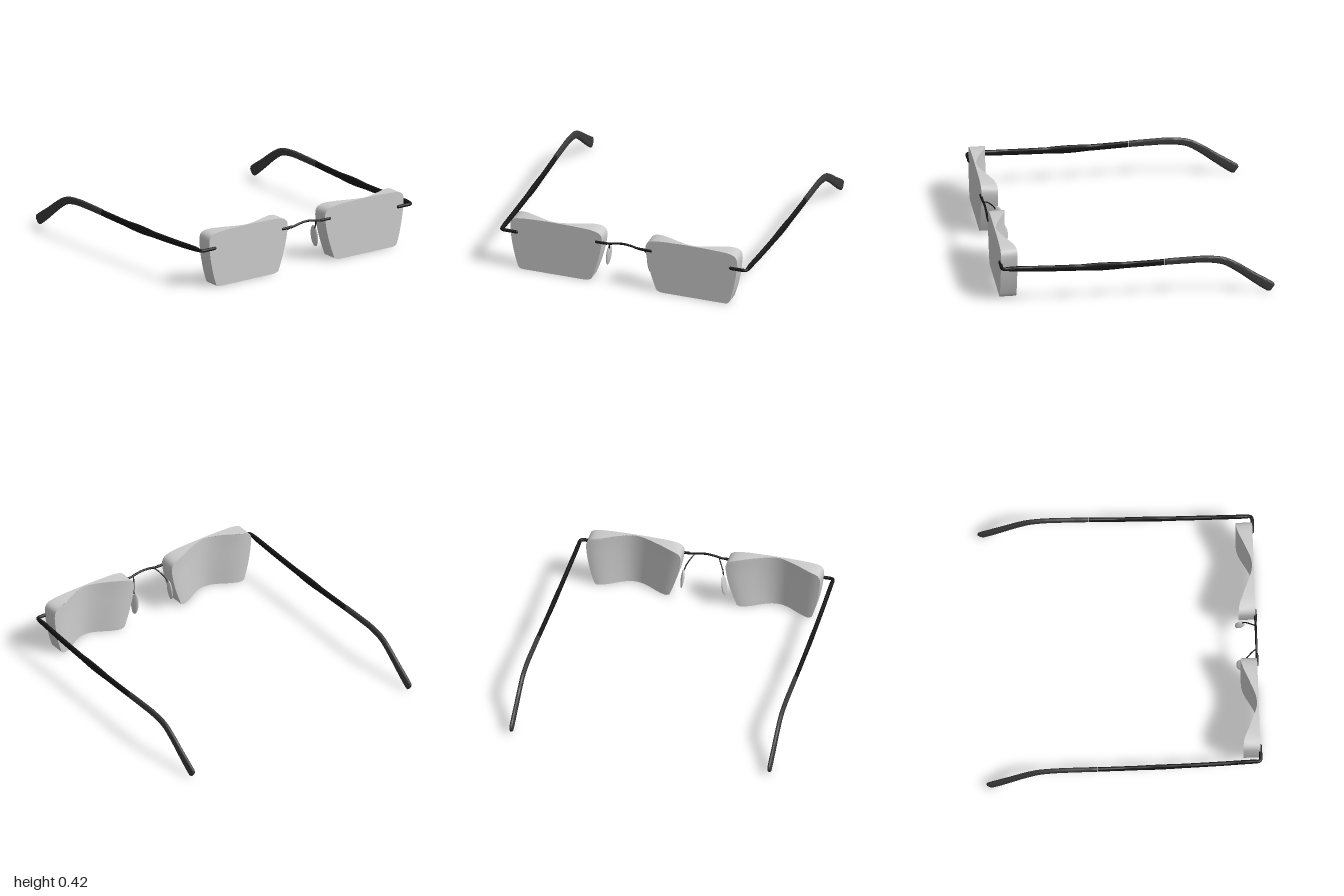
import * as THREE from 'three';
import { toCreasedNormals } from 'three/addons/utils/BufferGeometryUtils.js';

const V = (x, y, z) => new THREE.Vector3(x, y, z);
const mat = (color) => new THREE.MeshStandardMaterial({ color });

function mesh(name, geometry, material) {
  const m = new THREE.Mesh(geometry, material);
  m.name = name;
  return m;
}

// Joins closed rings (even point count, counter-clockwise about the direction of travel) and caps both ends
function loft(rings, crease) {
  const m = rings[0].length, idx = [];
  for (let i = 0; i < rings.length - 1; i++) {
    for (let j = 0; j < m; j++) {
      const k = (j + 1) % m;
      const a = i * m + j, b = i * m + k, c = (i + 1) * m + k, d = (i + 1) * m + j;
      idx.push(a, b, c, a, c, d);
    }
  }
  const last = (rings.length - 1) * m;
  for (let k = 0; k < m / 2 - 1; k++) {
    const [a, b, c, d] = [k, k + 1, m - 2 - k, m - 1 - k];
    idx.push(a, c, b, a, d, c);
    idx.push(last + a, last + b, last + c, last + a, last + c, last + d);
  }
  const g = new THREE.BufferGeometry().setFromPoints(rings.flat());
  g.setIndex(idx);
  return toCreasedNormals(g, crease);
}

// Lens: flat front, back hollowed across x; rows are [y, inner edge, outer edge]
function lensGeometry() {
  const rows = [
    [0.01, 0.3, 0.775], [0.013, 0.275, 0.797], [0.025, 0.252, 0.81], [0.05, 0.242, 0.819],
    [0.1, 0.224, 0.834], [0.15, 0.208, 0.846], [0.2, 0.194, 0.856], [0.25, 0.182, 0.864],
    [0.3, 0.173, 0.87], [0.34, 0.168, 0.873], [0.37, 0.169, 0.872], [0.39, 0.177, 0.866],
    [0.405, 0.192, 0.853], [0.416, 0.222, 0.828], [0.423, 0.262, 0.785], [0.427, 0.33, 0.71], [0.43, 0.46, 0.6],
  ];
  const n = 32;
  const rings = rows.map(([y, xi, xo]) => {
    const front = [], back = [];
    const t = Math.min(y / 0.33, 1);
    for (let i = 0; i <= n; i++) {
      const x = xi + (xo - xi) * i / n;
      const half = x < 0.53 ? 0.29 + 0.075 * t : 0.285 + 0.055 * t;
      const u = Math.min(Math.abs(x - 0.53) / half, 1);
      front.push(V(x, y, 0.986));
      back.unshift(V(x, y, 0.973 - 0.054 * (1 - Math.cos(Math.PI * u))));
    }
    return [...front, ...back];
  });
  return loft(rings, 0.6);
}

// Bar swept along points [x, y, z, height, width] with a rounded-rectangle section
function barGeometry(points, steps) {
  const path = new THREE.CatmullRomCurve3(points.map((p) => V(p[0], p[1], p[2])));
  const size = new THREE.CatmullRomCurve3(points.map((p) => V(p[3], p[4], 0)));
  const rings = [];
  const soft = (v) => Math.sign(v) * Math.pow(Math.abs(v), 0.6);
  for (let i = 0; i <= steps; i++) {
    const p = path.getPoint(i / steps), s = size.getPoint(i / steps);
    const T = path.getTangent(i / steps).setX(0).normalize();
    const N = T.clone().cross(V(1, 0, 0));
    const ring = [];
    for (let j = 0; j < 20; j++) {
      const a = (j + 0.5) / 20 * Math.PI * 2;
      ring.push(p.clone().addScaledVector(N, soft(Math.sin(a)) * s.x / 2)
        .add(V(soft(Math.cos(a)) * s.y / 2, 0, 0)));
    }
    rings.push(ring);
  }
  return loft(rings, 0.9);
}

// Round wire with domed ends
function wire(name, points, r, material) {
  const group = new THREE.Group();
  group.name = name;
  const pts = points.map((p) => V(...p));
  const curve = new THREE.CatmullRomCurve3(pts, false, 'centripetal');
  group.add(mesh(name + 'Rod', new THREE.TubeGeometry(curve, 48, r, 12), material));
  for (const p of [pts[0], pts[pts.length - 1]]) {
    const end = mesh(name + 'End', new THREE.SphereGeometry(r, 12, 8), material);
    end.position.copy(p);
    group.add(end);
  }
  return group;
}

export function createModel() {
  const model = new THREE.Group();
  model.name = 'rimlessGlasses';
  const grey = mat(0xcccccc), black = mat(0x161616), dark = mat(0x3a3a3a);

  const lens = lensGeometry();
  const arm = barGeometry([
    [0.944, 0.306, 0.965, 0.024, 0.024], [0.944, 0.304, 0.9, 0.036, 0.026], [0.948, 0.295, 0.7, 0.042, 0.026],
    [0.953, 0.287, 0.4, 0.046, 0.026], [0.957, 0.287, 0.1, 0.046, 0.026], [0.961, 0.294, -0.195, 0.044, 0.026],
  ], 40);
  const tip = barGeometry([
    [0.961, 0.296, -0.2, 0.046, 0.028], [0.962, 0.299, -0.35, 0.048, 0.028], [0.963, 0.298, -0.5, 0.05, 0.028],
    [0.963, 0.275, -0.63, 0.056, 0.028], [0.963, 0.217, -0.73, 0.061, 0.028], [0.963, 0.143, -0.83, 0.068, 0.028],
    [0.963, 0.072, -0.93, 0.078, 0.028], [0.963, 0.046, -0.968, 0.078, 0.026], [0.963, 0.036, -0.982, 0.056, 0.02],
  ], 56);

  // One half, then its mirror
  for (const [side, s] of [['left', 1], ['right', -1]]) {
    const half = new THREE.Group();
    half.name = side + 'Half';
    half.scale.x = s;
    half.add(mesh('lens', lens, grey), mesh('templeArm', arm, black), mesh('templeTip', tip, dark));

    // End piece clamped on the lens and turning back into the arm
    half.add(wire('endPiece', [
      [0.825, 0.306, 0.987], [0.87, 0.306, 0.987], [0.922, 0.306, 0.987], [0.938, 0.306, 0.981],
      [0.944, 0.306, 0.966], [0.944, 0.306, 0.93],
    ], 0.0125, black));

    // Nose pad and the fine wire that carries it
    const pad = mesh('nosePad', new THREE.SphereGeometry(1, 24, 16), grey);
    pad.scale.set(0.013, 0.083, 0.036);
    pad.position.set(0.155, 0.186, 0.872);
    pad.rotation.set(0, 0.15, 0.11);
    half.add(pad);
    half.add(wire('padWire', [
      [0.09, 0.34, 0.982], [0.11, 0.322, 0.95], [0.138, 0.28, 0.91], [0.148, 0.24, 0.885], [0.153, 0.19, 0.875],
    ], 0.0045, black));

    // Clamp where the bridge meets the lens
    half.add(wire('bridgeClamp', [[0.13, 0.336, 0.986], [0.17, 0.335, 0.986], [0.21, 0.335, 0.986]], 0.01, black));
    model.add(half);
  }

  // Arched bridge
  model.add(wire('bridge', [
    [-0.15, 0.336, 0.985], [-0.11, 0.337, 0.985], [-0.06, 0.348, 0.985], [0, 0.354, 0.985],
    [0.06, 0.348, 0.985], [0.11, 0.337, 0.985], [0.15, 0.336, 0.985],
  ], 0.008, black));

  return model;
}
